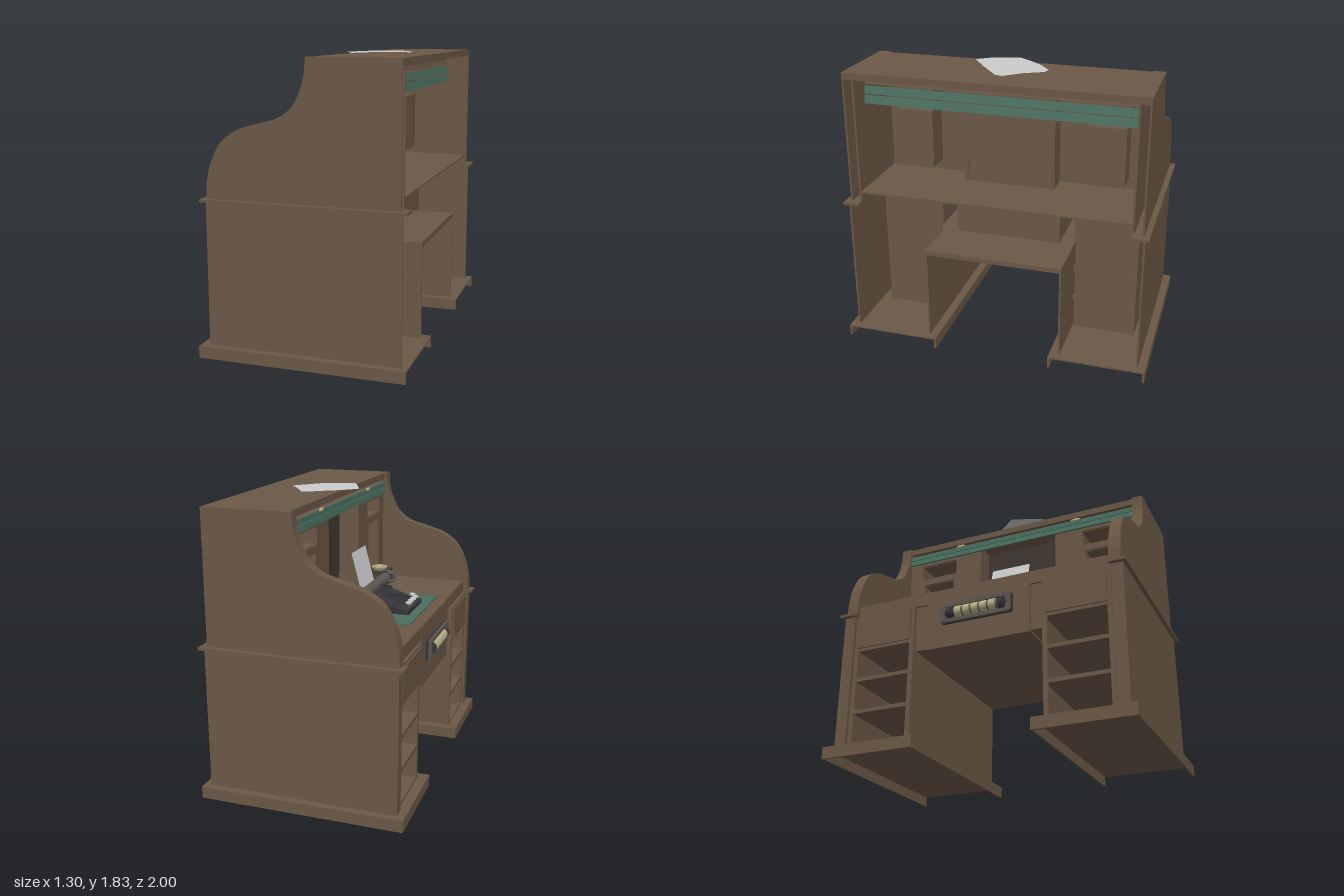
import * as THREE from 'three';
import { RoundedBoxGeometry } from 'three/addons/geometries/RoundedBoxGeometry.js';

const mat = (color) => new THREE.MeshStandardMaterial({ color, side: THREE.DoubleSide });
const wood = mat(0x6b5846), darkWood = mat(0x403830), green = mat(0x4a6f60);
const iron = mat(0x36363a), steel = mat(0x5b5650), cream = mat(0xb8b084), paper = mat(0xcccccc);

export function createModel() {
  const root = new THREE.Group();

  function add(name, geo, m, parent = root) {
    const mesh = new THREE.Mesh(geo, m);
    mesh.name = name;
    parent.add(mesh);
    return mesh;
  }
  // box given by its limits on each axis
  function box(name, x0, x1, y0, y1, z0, z1, m = wood, parent = root) {
    const g = new THREE.BoxGeometry(x1 - x0, y1 - y0, Math.abs(z1 - z0));
    g.translate((x0 + x1) / 2, (y0 + y1) / 2, (z0 + z1) / 2);
    return add(name, g, m, parent);
  }
  // cylinder lying along z
  function rod(name, r, len, x, y, z, m, sides = 20, parent = root) {
    const g = new THREE.CylinderGeometry(r, r, len, sides).rotateX(Math.PI / 2);
    return add(name, g.translate(x, y, z), m, parent);
  }
  // outline in x,y pushed along z
  function slab(name, pts, z0, depth, m, parent = root) {
    const g = new THREE.ExtrudeGeometry(new THREE.Shape(pts), { depth, bevelEnabled: false });
    return add(name, g.translate(0, 0, z0), m, parent);
  }
  // upright board facing -x with rectangular openings [z0, z1, y0, y1]
  function frontFrame(name, x, t, [z0, z1, y0, y1], openings) {
    const rect = (p, a, b, c, d) =>
      p.moveTo(-a, c).lineTo(-b, c).lineTo(-b, d).lineTo(-a, d).closePath();
    const s = rect(new THREE.Shape(), z0, z1, y0, y1);
    for (const o of openings) s.holes.push(rect(new THREE.Path(), ...o));
    const g = new THREE.ExtrudeGeometry(s, { depth: t, bevelEnabled: false }).rotateY(Math.PI / 2);
    return add(name, g.translate(x, 0, 0), wood);
  }
  const v2 = ([x, y]) => new THREE.Vector2(x, y);

  // S-shaped outline of the roll top
  const sweep = new THREE.SplineCurve([[-0.6, 0.98], [-0.593, 1.09], [-0.565, 1.2], [-0.5, 1.32],
    [-0.4, 1.395], [-0.28, 1.435], [-0.14, 1.475], [-0.05, 1.54], [0, 1.63], [0.027, 1.72],
    [0.035, 1.822]].map(v2)).getPoints(50);
  const cheek = [...sweep, v2([0.597, 1.822]), v2([0.597, 0.98])];
  const rim = [...sweep, ...sweep.map(p => v2([p.x + 0.014, p.y - 0.012])).reverse()];

  for (const s of [1, -1]) {
    // put a slab between two distances from the middle, on side s
    const side = (name, pts, a, b) => slab(name, pts, s > 0 ? a : -b, b - a, wood);
    const sbox = (name, x0, x1, y0, y1, a, b, m = wood) => box(name, x0, x1, y0, y1, s * a, s * b, m);

    // hollow roll top cheek
    side('cheekOuter', cheek, 0.928, 0.94);
    side('cheekInner', cheek, 0.865, 0.877);
    side('cheekRim', rim, 0.877, 0.928);

    // waist moulding and lower side
    sbox('waistTrim', -0.63, 0.64, 0.965, 0.982, 0.87, 0.975);
    sbox('lowerSide', -0.6, 0.61, 0.075, 0.965, 0.938, 0.95);
    sbox('frontPost', -0.6, -0.575, 0.075, 0.965, 0.875, 0.95);

    // plinth, open below and behind
    sbox('plinthTop', -0.64, 0.65, 0.065, 0.075, 0.39, 0.99);
    sbox('plinthFront', -0.65, -0.635, 0, 0.075, 0.38, 1);
    sbox('plinthOuter', -0.65, 0.65, 0, 0.075, 0.988, 1);
    sbox('plinthInner', -0.65, 0.65, 0, 0.075, 0.38, 0.392);

    // pedestal with open pigeonholes under a drawer
    frontFrame('pedestalFront', -0.585, 0.025, [s * 0.435, s * 0.868, 0.075, 0.965],
      [[0.09, 0.29], [0.315, 0.505], [0.53, 0.715]].map(([a, b]) => [s * 0.465, s * 0.84, a, b]));
    sbox('drawerFront', -0.595, -0.58, 0.735, 0.95, 0.46, 0.845);
    sbox('drawerBox', -0.56, 0.25, 0.72, 0.965, 0.45, 0.867);
    sbox('pedestalBack', 0.24, 0.25, 0.085, 0.72, 0.46, 0.85);
    sbox('pedestalOuterWall', -0.57, 0.25, 0.075, 0.72, 0.845, 0.867);
    sbox('pedestalInnerWall', -0.57, 0.6, 0.075, 0.69, 0.435, 0.447);
    for (const y of [0.3, 0.517]) {
      sbox('shelf', -0.565, 0.24, y - 0.01, y + 0.01, 0.45, 0.85);
      for (const z of [0.455, 0.84]) sbox('shelfBracket', 0.24, 0.256, y - 0.02, y + 0.02, z - 0.005, z + 0.01);
    }

    // inner cabinet: front board, cheek and boxed niches behind it
    frontFrame('cabinetFront', 0.06, 0.015, [s * 0.29, s * 0.865, 1.05, 1.72],
      [[s * 0.51, s * 0.75, 1.12, 1.5], [s * 0.49, s * 0.77, 1.55, 1.66]]);
    sbox('cabinetCheek', 0.06, 0.22, 1.05, 1.72, 0.29, 0.302);
    for (const [a, b, y0, y1] of [[0.51, 0.75, 1.12, 1.5], [0.49, 0.77, 1.55, 1.66]]) {
      sbox('nicheBack', 0.23, 0.24, y0, y1, a, b);
      for (const z of [a - 0.004, b - 0.004]) sbox('nicheWall', 0.07, 0.24, y0, y1, z, z + 0.008);
      for (const y of [y0 - 0.004, y1 - 0.004]) sbox('nicheShelf', 0.07, 0.24, y, y + 0.008, a, b);
    }
    sbox('panelStop', 0.2, 0.235, 1.05, 1.19, 0.268, 0.29);

    // pull on the tambour
    const pull = new THREE.SphereGeometry(0.02, 16, 8).scale(0.5, 0.6, 1.8);
    add('tambourPull', pull.translate(0.046, 1.757, s * 0.45), cream);
  }

  // hood top and the panel between the cabinets
  box('hoodTop', 0.052, 0.597, 1.778, 1.822, -0.93, 0.93);
  box('centrePanel', 0.21, 0.22, 1.05, 1.72, -0.3, 0.3);
  box('centrePanelFace', 0.2, 0.21, 1.05, 1.72, -0.3, 0.3, darkWood);

  // thin writing surface on a front rail, with the kneehole drawer hung below
  box('deskTop', -0.565, 0.597, 1.04, 1.05, -0.865, 0.865);
  box('deskRail', -0.565, -0.54, 0.965, 1.045, -0.868, 0.868);
  box('kneeholeDrawer', -0.568, 0.25, 0.645, 1.045, -0.35, 0.35);
  box('kneeholeApron', -0.55, -0.53, 0.66, 0.97, -0.44, 0.44);
  box('kneeholeLid', -0.55, 0.6, 0.66, 0.69, -0.44, 0.44);

  // retracted tambour: front slats, brown backing rail and the slats hanging behind
  const slats = [[0.047, 1.68, 0.052, 1.718, green], [0.052, 1.722, 0.054, 1.757, green],
    [0.43, 1.755, 0.44, 1.715, wood], [0.44, 1.705, 0.45, 1.655, green], [0.45, 1.647, 0.46, 1.595, green]];
  for (const [x0, y0, x1, y1, m] of slats) {
    const slat = add('tambourSlat', new THREE.BoxGeometry(Math.hypot(x1 - x0, y1 - y0), 0.012, 1.73), m);
    slat.position.set((x0 + x1) / 2, (y0 + y1) / 2, 0);
    slat.rotation.z = Math.atan2(y1 - y0, x1 - x0);
  }
  box('tambourBed', 0.055, 0.435, 1.745, 1.755, -0.865, 0.865);

  // row of number rings in a dark frame on the kneehole drawer
  const lock = new THREE.Group();
  lock.name = 'ringLock';
  root.add(lock);
  add('lockPlate', new RoundedBoxGeometry(0.03, 0.13, 0.48, 3, 0.012).translate(-0.575, 0.86, 0), iron, lock);
  for (const y of [0.808, 0.912]) box('lockRail', -0.6, -0.575, y - 0.012, y + 0.012, -0.23, 0.23, steel, lock);
  for (const z of [-0.22, 0.22]) box('lockEnd', -0.605, -0.575, 0.8, 0.92, z - 0.015, z + 0.015, steel, lock);
  rod('lockAxle', 0.025, 0.42, -0.583, 0.86, 0, iron, 16, lock);
  for (let i = -2; i <= 2; i++) {
    rod('numberRing', 0.038, 0.044, -0.585, 0.86, i * 0.058, cream, 20, lock);
    rod('ringSpacer', 0.032, 0.014, -0.585, 0.86, i * 0.058 + 0.029, steel, 20, lock);
  }
  for (const z of [-0.175, 0.175]) rod('lockCap', 0.038, 0.03, -0.585, 0.86, z, iron, 20, lock);

  // blotter
  box('blotter', -0.49, 0.045, 1.05, 1.06, -0.355, 0.355, green);

  // typewriter
  const writer = new THREE.Group();
  writer.name = 'typewriter';
  root.add(writer);
  slab('typewriterBody', [[-0.43, 1.06], [-0.43, 1.085], [-0.33, 1.105], [-0.25, 1.135], [-0.12, 1.14],
    [-0.06, 1.12], [-0.06, 1.06]].map(v2), -0.165, 0.33, iron, writer);
  for (const z of [-0.165, 0.145]) {
    slab('typewriterCheek', [[-0.26, 1.06], [-0.22, 1.16], [-0.1, 1.17], [-0.07, 1.06]].map(v2), z, 0.02, iron, writer);
  }
  const basket = add('typeBasket', new THREE.ConeGeometry(0.065, 0.08, 4), iron, writer);
  basket.position.set(-0.2, 1.175, 0);
  for (let i = -2; i <= 2; i++) {
    const z = 0.015 + i * 0.053, x = i === 2 ? -0.38 : -0.412;
    const key = new THREE.CylinderGeometry(0.021, 0.021, 0.012, 6).translate(x, 1.122, z);
    add('key', key, paper, writer);
    add('keyStem', new THREE.CylinderGeometry(0.005, 0.005, 0.04, 6).translate(x, 1.1, z), steel, writer);
    const arm = new THREE.LineCurve3(new THREE.Vector3(x, 1.105, z), new THREE.Vector3(-0.21, 1.15, z * 0.3));
    add('keyArm', new THREE.TubeGeometry(arm, 1, 0.004, 5), iron, writer);
  }
  rod('platen', 0.038, 0.54, -0.15, 1.185, 0, steel, 20, writer);
  for (const z of [-0.3, 0.295]) {
    rod('platenKnob', 0.042, 0.06, -0.15, 1.185, z, steel, 16, writer);
    rod('platenCollar', 0.045, 0.012, -0.15, 1.185, z - Math.sign(z) * 0.035, iron, 16, writer);
  }
  const lever = new THREE.TorusGeometry(0.035, 0.01, 8, 20).rotateX(0.9).translate(-0.195, 1.2, 0.225);
  add('returnLever', lever, steel, writer);
  const sheet = add('typingSheet', new THREE.PlaneGeometry(0.28, 0.27).rotateY(-Math.PI / 2), paper, writer);
  sheet.position.set(-0.075, 1.3, -0.005);
  sheet.rotation.z = -0.26;

  // candle on a pulled-out tray
  box('candleTray', -0.06, 0.1, 1.13, 1.145, 0.54, 0.72, darkWood);
  const dish = new THREE.LatheGeometry([[0, 0], [0.045, 0], [0.06, 0.025], [0.053, 0.025], [0.045, 0.015],
    [0, 0.015]].map(v2), 24).translate(0.012, 1.145, 0.63);
  add('candleDish', dish, cream);
  add('candle', new THREE.CylinderGeometry(0.035, 0.04, 0.025, 20).translate(0.012, 1.165, 0.63), cream);

  // loose curled sheet on the hood
  const outline = [[-0.04, 0], [0.04, -0.1], [0.12, -0.18], [0.22, -0.255], [0.26, -0.24], [0.34, -0.12],
    [0.415, -0.02], [0.4, 0.03], [0.25, 0.15], [0.08, 0.26], [0.03, 0.17]].map(([x, z]) => v2([x, -z]));
  const loose = new THREE.ShapeGeometry(new THREE.Shape(outline)).rotateX(-Math.PI / 2);
  const p = loose.attributes.position;
  for (let i = 0; i < p.count; i++) p.setY(i, 1.828 + 0.003 * Math.sin(p.getX(i) * 25 + p.getZ(i) * 12));
  loose.computeVertexNormals();
  add('looseSheet', loose, paper);

  return root;
}
